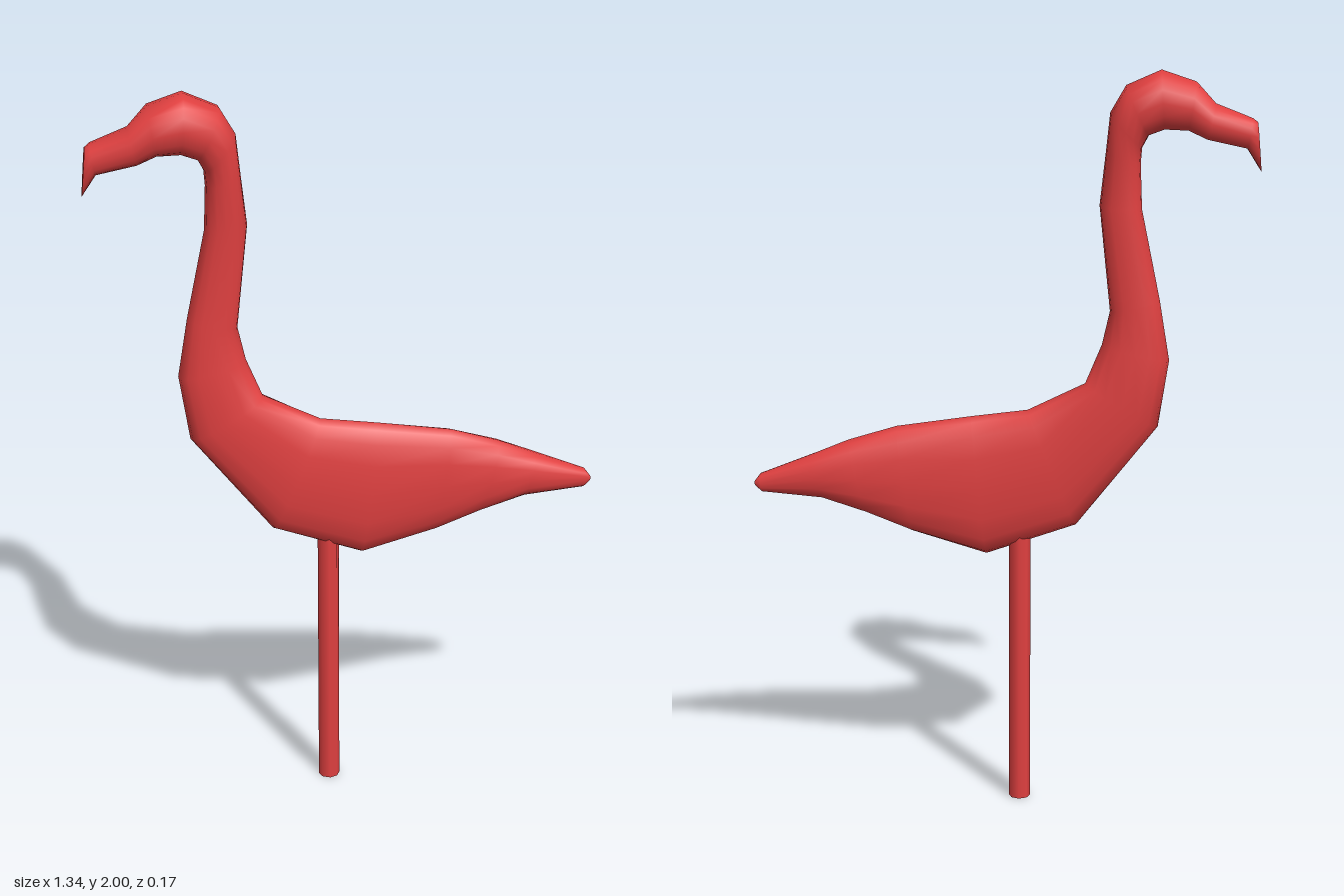
import * as THREE from 'three';

const SIDES = 16;

// Stations from beak to tail: [upper/back x, y, lower/front x, y, half width]
const STATIONS = [
  [-0.658, 1.868, -0.67, 1.74, 0.042],
  [-0.645, 1.878, -0.632, 1.8, 0.047],
  [-0.55, 1.915, -0.53, 1.822, 0.06],
  [-0.5, 1.97, -0.48, 1.845, 0.077],
  [-0.41, 2.0, -0.42, 1.847, 0.085],
  [-0.32, 1.96, -0.38, 1.832, 0.08],
  [-0.28, 1.89, -0.363, 1.8, 0.07],
  [-0.27, 1.79, -0.36, 1.76, 0.06],
  [-0.255, 1.65, -0.365, 1.64, 0.05],
  [-0.285, 1.37, -0.415, 1.4, 0.042],
  [-0.265, 1.28, -0.442, 1.24, 0.055],
  [-0.222, 1.175, -0.415, 1.06, 0.056],
  [-0.07, 1.1, -0.2, 0.785, 0.056],
  [0.08, 1.08, 0.04, 0.7, 0.056],
  [0.28, 1.05, 0.24, 0.76, 0.056],
  [0.41, 1.01, 0.36, 0.81, 0.055],
  [0.51, 0.968, 0.48, 0.85, 0.049],
  [0.65, 0.912, 0.645, 0.863, 0.023],
  [0.666, 0.89, 0.663, 0.878, 0.009],
];

// Rounded cross-section spanning the two outline points
function ring([ax, ay, bx, by, w], index) {
  const points = [];
  const soften = (v) => Math.sign(v) * Math.abs(v) ** 0.85;
  for (let j = 0; j < SIDES; j++) {
    const a = (j / SIDES) * Math.PI * 2;
    const c = soften(Math.cos(a));
    // the first section narrows downwards into the hooked beak tip
    const pinch = index === 0 ? 0.65 + 0.35 * c : 1;
    points.push([
      (ax + bx) / 2 + (c * (ax - bx)) / 2,
      (ay + by) / 2 + (c * (ay - by)) / 2,
      w * soften(Math.sin(a)) * pinch,
    ]);
  }
  return points;
}

function loft(stations) {
  const rings = stations.map(ring);
  const positions = rings.flat(2);
  const indices = [];
  for (let i = 0; i < rings.length - 1; i++) {
    for (let j = 0; j < SIDES; j++) {
      const k = (j + 1) % SIDES;
      const a = i * SIDES + j, b = i * SIDES + k;
      indices.push(a, b, a + SIDES, b, b + SIDES, a + SIDES);
    }
  }
  // End caps with their own vertices keep a crisp edge
  for (const [points, start] of [[rings[0], true], [rings[rings.length - 1], false]]) {
    const base = positions.length / 3;
    positions.push(...points.flat());
    for (let j = 1; j < SIDES - 1; j++) {
      if (start) indices.push(base, base + j + 1, base + j);
      else indices.push(base, base + j, base + j + 1);
    }
  }
  const geometry = new THREE.BufferGeometry();
  geometry.setAttribute('position', new THREE.Float32BufferAttribute(positions, 3));
  geometry.setIndex(indices);
  geometry.computeVertexNormals();
  return geometry;
}

export function createModel() {
  const group = new THREE.Group();
  group.name = 'lawnBird';
  const red = new THREE.MeshStandardMaterial({ color: 0xe04040 });

  // Head, neck, body and tail in one continuous skin
  const bird = new THREE.Mesh(loft(STATIONS), red);
  bird.name = 'birdBody';
  group.add(bird);

  // Single stake leg, sunk into the belly
  const leg = new THREE.Mesh(new THREE.CylinderGeometry(0.029, 0.029, 0.77, 8), red);
  leg.name = 'leg';
  leg.position.set(-0.05, 0.385, 0);
  group.add(leg);

  return group;
}
